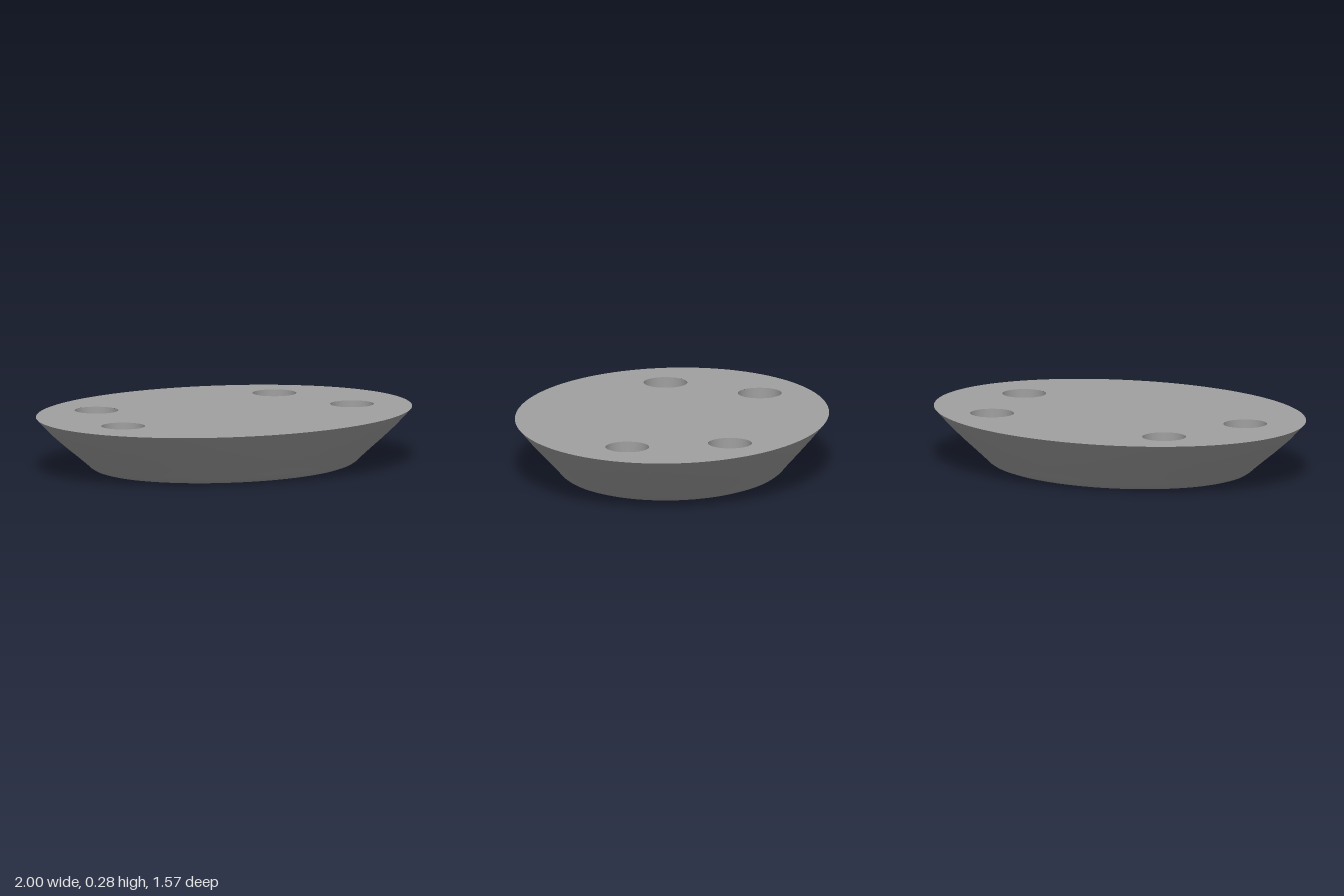
import * as THREE from 'three';

const TOP = 0.277, RX = 1, RZ = 0.785;
const HOLE_R = 0.11, HOLE_FLOOR = 0.13, HOLE_TIP = 0.065;
const HOLES = [[0.525, -0.37], [0.675, 0.13]].flatMap(([x, z]) => [[x, z], [-x, z]]);

// Elliptical rings [radius x, radius z, y] joined into a smooth outer wall
function loft(rings, segments) {
  const positions = [], index = [], row = segments + 1;
  rings.forEach(([rx, rz, y], i) => {
    for (let j = 0; j <= segments; j++) {
      const a = (j / segments) * Math.PI * 2;
      positions.push(rx * Math.cos(a), y, rz * Math.sin(a));
      if (i > 0 && j < segments) {
        const p = (i - 1) * row + j, q = i * row + j;
        index.push(p, q, p + 1, p + 1, q, q + 1);
      }
    }
  });
  const geometry = new THREE.BufferGeometry();
  geometry.setAttribute('position', new THREE.Float32BufferAttribute(positions, 3));
  geometry.setIndex(index);
  geometry.computeVertexNormals();
  return geometry;
}

export function createModel() {
  const group = new THREE.Group();
  group.name = 'ovalBase';
  const grey = new THREE.MeshStandardMaterial({ color: 0xa0a0a0 });
  grey.name = 'grey';
  const add = (name, geometry, parent = group) => {
    const mesh = new THREE.Mesh(geometry, grey);
    mesh.name = name;
    parent.add(mesh);
    return mesh;
  };

  // Flared side with a rounded lower edge
  const rings = [
    [0.64, 0.51, 0], [0.667, 0.535, 0.003], [0.69, 0.553, 0.01], [0.71, 0.568, 0.022],
    [0.728, 0.58, 0.038], [0.785, 0.622, 0.085], [0.845, 0.663, 0.132],
    [0.925, 0.722, 0.2], [RX, RZ, TOP],
  ];
  add('side', loft(rings, 128));

  // Flat underside
  const under = new THREE.CircleGeometry(1, 128).rotateX(Math.PI / 2);
  add('underside', under.scale(0.64, 1, 0.51));

  // Flat top with four round openings (shape y becomes -z)
  const shape = new THREE.Shape().absellipse(0, 0, RX, RZ, 0, Math.PI * 2);
  for (const [x, z] of HOLES) {
    shape.holes.push(new THREE.Path().absarc(x, -z, HOLE_R, 0, Math.PI * 2, true));
  }
  const face = new THREE.ShapeGeometry(shape, 64).rotateX(-Math.PI / 2);
  add('topFace', face.translate(0, TOP, 0));

  // Drilled sockets: straight wall and conical floor, both facing inwards
  const wall = new THREE.LatheGeometry(
    [new THREE.Vector2(HOLE_R, TOP), new THREE.Vector2(HOLE_R, HOLE_FLOOR)], 64);
  const cone = new THREE.LatheGeometry(
    [new THREE.Vector2(HOLE_R, HOLE_FLOOR), new THREE.Vector2(0, HOLE_TIP)], 64);
  for (const [x, z] of HOLES) {
    const socket = new THREE.Group();
    socket.name = 'socket';
    socket.position.set(x, 0, z);
    add('socketWall', wall, socket);
    add('socketFloor', cone, socket);
    group.add(socket);
  }
  return group;
}
